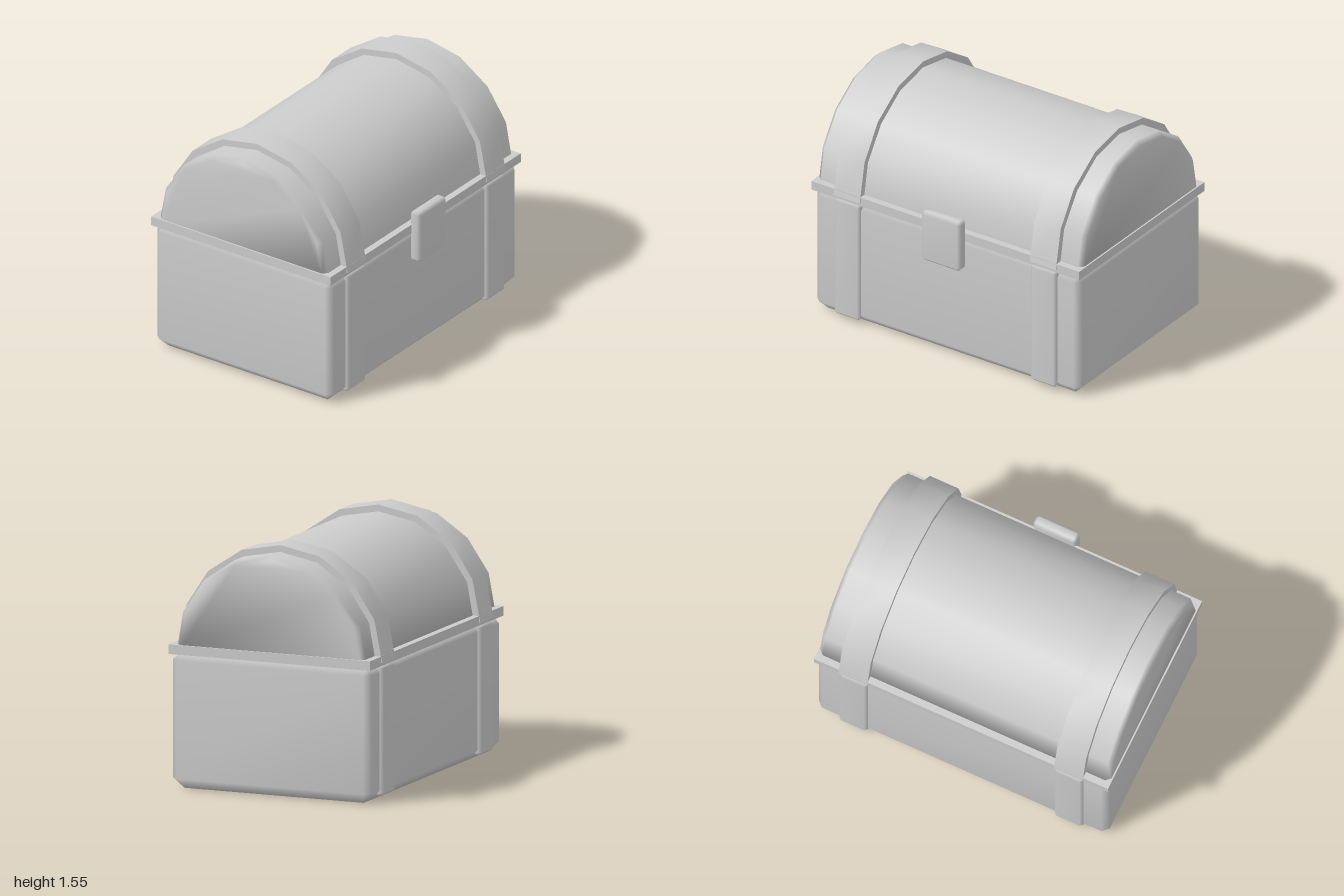
import * as THREE from 'three';
import { mergeVertices, toCreasedNormals } from 'three/addons/utils/BufferGeometryUtils.js';
import { ConvexGeometry } from 'three/addons/geometries/ConvexGeometry.js';

const MID_Z = -0.025; // the chest body sits slightly back, balancing the lock

// Convex solid with soft, shared normals
function softSolid(points) {
  const g = new ConvexGeometry(points);
  g.deleteAttribute('normal');
  const merged = mergeVertices(g, 1e-4);
  merged.computeVertexNormals();
  return merged;
}

// Box with cut edges; the bottom edge may have its own cut size
function chamferBox(w, h, d, cut, bottomCut = cut) {
  const pts = [];
  for (const sx of [-1, 1]) for (const sy of [-1, 1]) for (const sz of [-1, 1]) {
    const c = sy < 0 ? bottomCut : cut;
    const [x, y, z] = [w / 2, h / 2, d / 2];
    pts.push(
      new THREE.Vector3(sx * (x - c), sy * y, sz * (z - c)),
      new THREE.Vector3(sx * x, sy * (y - c), sz * (z - cut)),
      new THREE.Vector3(sx * (x - cut), sy * (y - c), sz * z));
  }
  return softSolid(pts);
}

// Full arch from one half, listed from the base up to the crown
const mirrorArch = half => [...half, ...half.slice(0, -1).reverse().map(([z, y]) => [-z, y])];

const lidArch = mirrorArch([[0.643, 0.865], [0.597, 1.112], [0.455, 1.32], [0.248, 1.46], [0, 1.508]]);
const bandArch = mirrorArch([[0.687, 0.865], [0.634, 1.13], [0.489, 1.35], [0.262, 1.5], [0, 1.55]]);

export function createModel() {
  const chest = new THREE.Group();
  chest.name = 'chest';
  const grey = new THREE.MeshStandardMaterial({ color: 0xcccccc });
  grey.name = 'plain grey';

  const add = (name, geometry, x, y, z) => {
    const mesh = new THREE.Mesh(geometry, grey);
    mesh.name = name;
    mesh.position.set(x, y, z);
    chest.add(mesh);
  };

  // Lower box and the rim around its top
  add('base', chamferBox(1.98, 0.845, 1.34, 0.04, 0.065), 0, 0.4225, MID_Z);
  add('rim', new THREE.BoxGeometry(2, 0.06, 1.36), 0, 0.875, MID_Z);

  // Barrel lid, its end edges cut back
  const lidPoints = [];
  for (const side of [-1, 1]) for (const [z, y] of lidArch) {
    lidPoints.push(new THREE.Vector3(side * 0.96, y, z));
    const s = 0.955;
    lidPoints.push(new THREE.Vector3(side * 0.99, 0.865 + (y - 0.865) * s, z * s));
  }
  add('lid', softSolid(lidPoints), 0, 0, MID_Z);

  // Bands over the lid, with straps below on the front and back
  const outline = [...bandArch, ...lidArch.slice().reverse().map(([z, y]) => [z * 0.99, y - 0.003])];
  const bandShape = new THREE.Shape(outline.map(([z, y]) => new THREE.Vector2(z, y)));
  const band = new THREE.ExtrudeGeometry(bandShape, { depth: 0.195, bevelEnabled: false });
  band.translate(0, 0, -0.0975);
  band.rotateY(Math.PI / 2);
  const bandGeometry = toCreasedNormals(band, 0.6);
  const strap = chamferBox(0.195, 0.815, 0.08, 0.018);
  for (const [side, label] of [[1, 'left'], [-1, 'right']]) {
    const x = side * 0.7325;
    add(label + 'LidBand', bandGeometry, x, 0, MID_Z);
    add(label + 'FrontStrap', strap, x, 0.4375, 0.625);
    add(label + 'BackStrap', strap, x, 0.4375, -0.675);
  }

  // Lock plate
  add('lock', chamferBox(0.295, 0.345, 0.08, 0.02), 0, 0.8225, 0.675);
  return chest;
}
